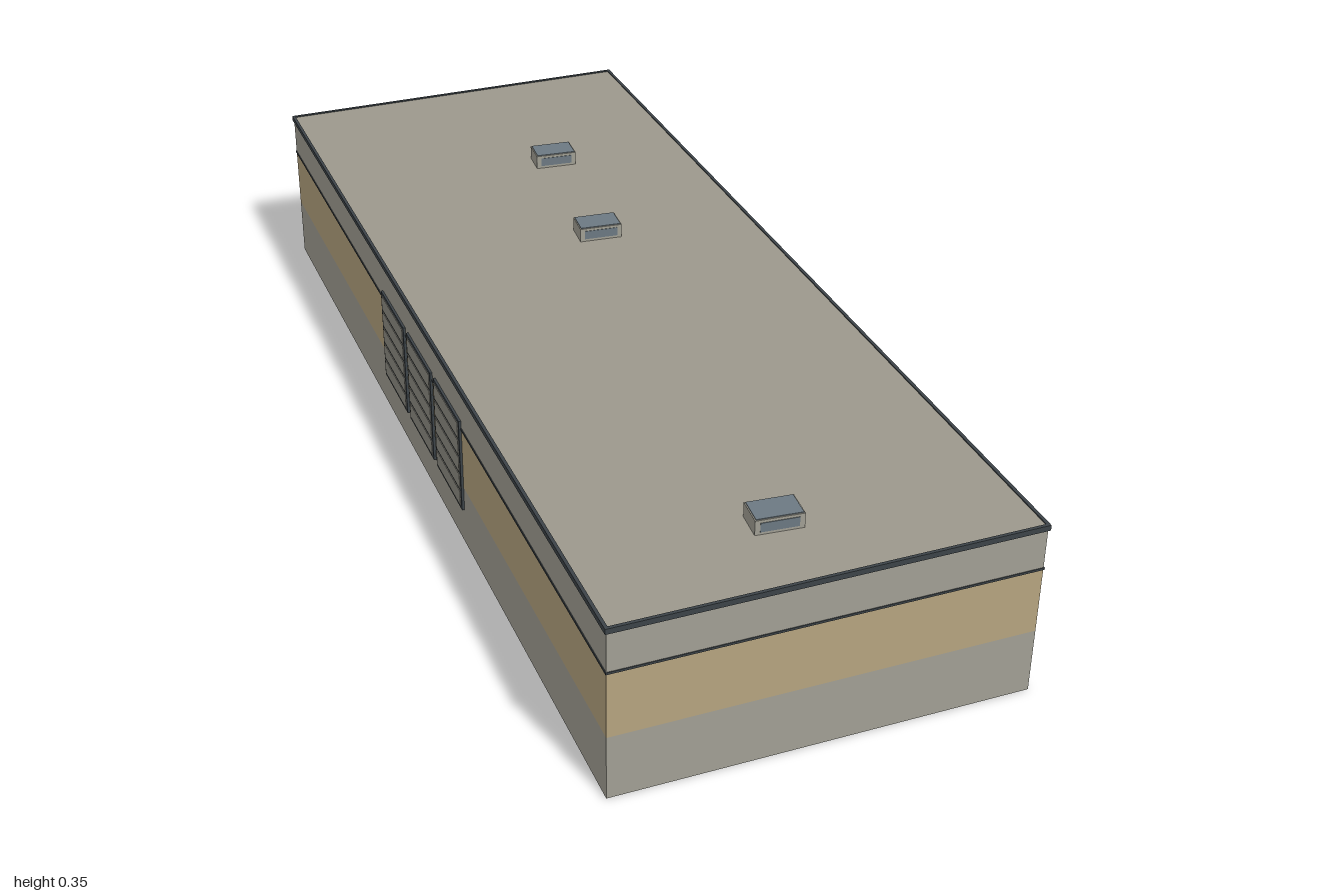
import * as THREE from 'three';

const mat = (name, color, side = THREE.FrontSide) => {
  const m = new THREE.MeshStandardMaterial({ color, side });
  m.name = name;
  return m;
};

export function createModel() {
  const concrete = mat('concrete grey', 0xa19f94, THREE.DoubleSide);
  const tan = mat('tan cladding', 0xb5a37f, THREE.DoubleSide);
  const trim = mat('dark slate trim', 0x3c4348);
  const roofing = mat('roof grey', 0x9c988c);
  const doorGrey = mat('door grey', 0x8f8d84);
  const glass = mat('skylight glass', 0x6c7982);

  const W = 0.736, L = 1.938, H = 0.327;

  const box = (parent, name, material, size, pos) => {
    const mesh = new THREE.Mesh(new THREE.BoxGeometry(...size), material);
    mesh.name = name;
    mesh.position.set(...pos);
    parent.add(mesh);
    return mesh;
  };

  const root = new THREE.Group();
  root.name = 'warehouse';
  const hall = new THREE.Group();
  hall.name = 'hall';
  hall.rotation.y = 0.085;
  root.add(hall);

  // Open-bottomed walls: stacked bands of single sheets on four sides
  const wallBand = (name, material, y0, y1) => {
    for (let i = 0; i < 4; i++) {
      const isEnd = i % 2 === 0;
      const geo = new THREE.PlaneGeometry(isEnd ? W : L, y1 - y0);
      geo.translate(0, (y0 + y1) / 2, (isEnd ? L : W) / 2);
      const mesh = new THREE.Mesh(geo, material);
      mesh.name = name;
      mesh.rotation.y = (i * Math.PI) / 2;
      hall.add(mesh);
    }
  };
  wallBand('lowerWall', concrete, 0, 0.12);
  wallBand('middleWall', tan, 0.12, 0.243);
  wallBand('upperWall', concrete, 0.243, 0.32);

  // Thin rails that run around the walls
  const ring = (name, y0, y1, t) => {
    const h = y1 - y0, y = (y0 + y1) / 2;
    for (const s of [-1, 1]) {
      box(hall, name, trim, [W + t, h, t], [0, y, (s * L) / 2]);
      box(hall, name, trim, [t, h, L - t], [(s * W) / 2, y, 0]);
    }
  };
  ring('stringCourse', 0.241, 0.245, 0.003);
  ring('roofEdge', 0.317, H, 0.006);

  // Flat roof
  box(hall, 'roof', roofing, [W - 0.004, 0.005, L - 0.004], [0, 0.3225, 0]);

  // Three sectional loading doors on the right wall
  const doorW = 0.156, doorY0 = 0.072, doorY1 = 0.259, rows = 5;
  for (let i = -1; i <= 1; i++) {
    const door = new THREE.Group();
    door.name = 'loadingDoor';
    door.position.set(-W / 2, 0, i * 0.175);
    hall.add(door);
    box(door, 'doorFrame', trim, [0.009, doorY1 - doorY0, doorW], [0, (doorY0 + doorY1) / 2, 0]);
    const pitch = (doorY1 - doorY0 - 0.008) / rows;
    for (let r = 0; r < rows; r++) {
      box(door, 'doorPanel', doorGrey, [0.002, pitch - 0.005, doorW - 0.012],
        [-0.0048, doorY0 + 0.004 + (r + 0.5) * pitch, 0]);
    }
  }

  // Roof skylights with a glazed top and front
  for (const z of [-0.562, -0.217, 0.808]) {
    const skylight = new THREE.Group();
    skylight.name = 'skylight';
    skylight.position.set(0.041, 0.325, z);
    root.add(skylight);
    box(skylight, 'skylightCurb', concrete, [0.083, 0.028, 0.054], [0, 0.013, 0]);
    box(skylight, 'skylightTop', glass, [0.079, 0.002, 0.05], [0, 0.0275, 0]);
    box(skylight, 'skylightFront', glass, [0.065, 0.017, 0.002], [0, 0.0135, 0.027]);
  }

  return root;
}
